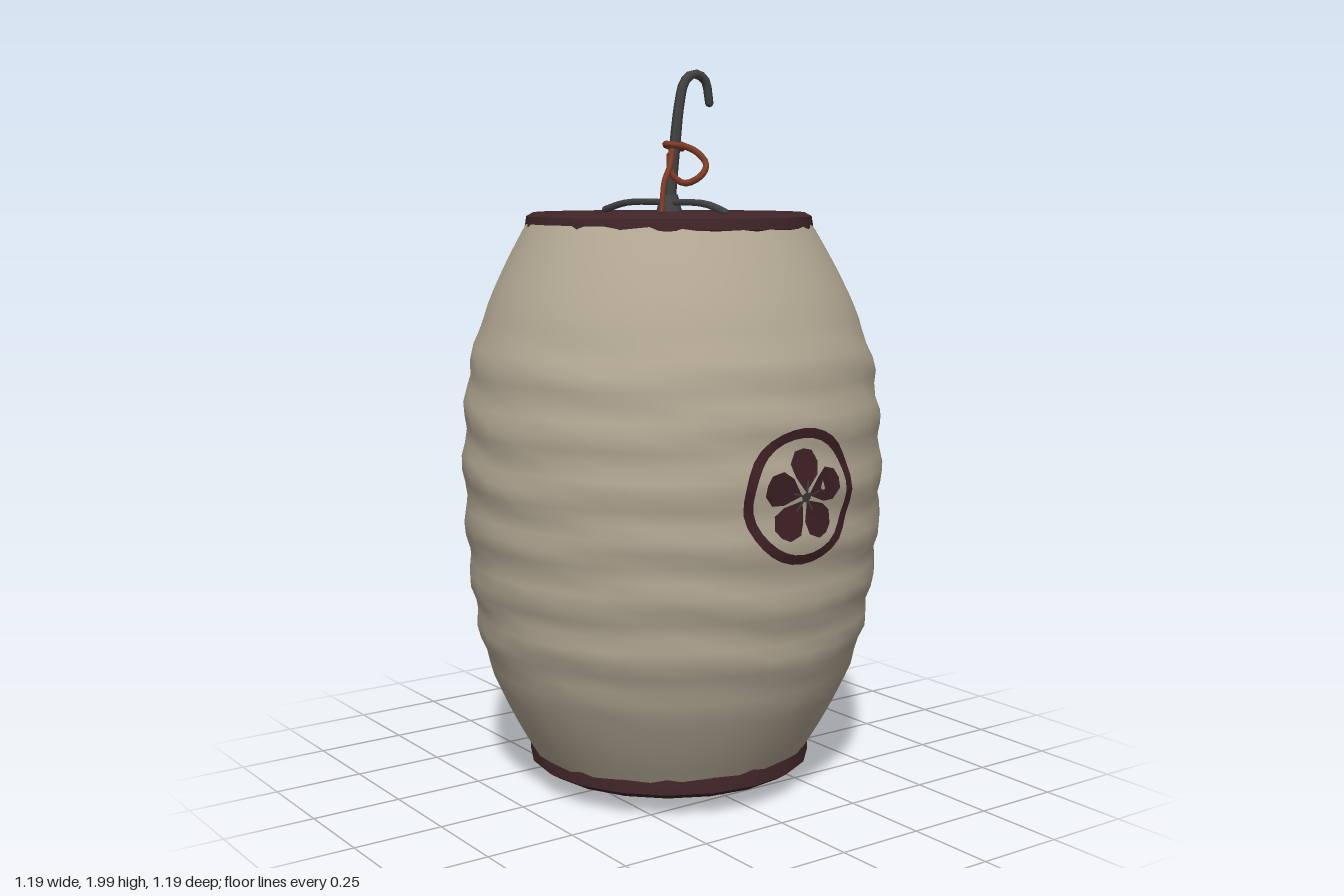
import * as THREE from 'three';
import { toCreasedNormals } from 'three/addons/utils/BufferGeometryUtils.js';

const V = (x, y, z) => new THREE.Vector3(x, y, z);
const material = (name, color, side = THREE.FrontSide) => {
  const m = new THREE.MeshStandardMaterial({ color, side });
  m.name = name;
  return m;
};

// Barrel outline of the paper: [height, radius]
const OUTLINE = [[0.1, 0.385], [0.2, 0.44], [0.32, 0.495], [0.45, 0.535], [0.62, 0.56], [0.78, 0.572],
  [0.92, 0.576], [1.06, 0.57], [1.2, 0.553], [1.35, 0.505], [1.47, 0.45], [1.58, 0.39]];
const outlineCurve = new THREE.SplineCurve(OUTLINE.map(([y, r]) => new THREE.Vector2(y, r)));
const outlinePoints = outlineCurve.getPoints(300);

function baseRadius(y) {
  const i = outlinePoints.findIndex((p) => p.x >= y);
  if (i < 1) return outlinePoints[i < 0 ? 300 : 0].y;
  const a = outlinePoints[i - 1], b = outlinePoints[i];
  return a.y + (b.y - a.y) * (y - a.x) / (b.x - a.x);
}

// Paper radius with soft, uneven horizontal ribs
function paperRadius(y, angle) {
  const fade = THREE.MathUtils.smoothstep(y, 0.25, 0.5) * (1 - THREE.MathUtils.smoothstep(y, 1.15, 1.4));
  const wobble = 0.8 * Math.sin(angle * 3 + y * 4) + 0.5 * Math.sin(angle * 7 - y * 9);
  const rib = Math.cos((y - 0.92) / 0.15 * Math.PI * 2 + wobble);
  return baseRadius(y) + fade * 0.007 * rib;
}
const centreX = (y) => -0.018 + 0.018 * Math.sin(Math.PI * THREE.MathUtils.clamp((y - 0.1) / 1.48, 0, 1));

function paperGeometry() {
  const rows = 40;
  const line = [];
  for (let i = 0; i <= rows; i++) line.push(new THREE.Vector2(0.4, 0.1 + 1.48 * i / rows));
  const g = new THREE.LatheGeometry(line, 30);
  const p = g.attributes.position;
  for (let i = 0; i < p.count; i++) {
    const y = p.getY(i), a = Math.atan2(p.getZ(i), p.getX(i)), r = paperRadius(y, a);
    p.setXYZ(i, centreX(y) + r * Math.cos(a), y, 1.02 * r * Math.sin(a));
  }
  g.computeVertexNormals();
  // Weld the normals along the seam
  const n = g.attributes.normal, last = p.count - rows - 1;
  for (let i = 0; i <= rows; i++) {
    const s = V().fromBufferAttribute(n, i).add(V().fromBufferAttribute(n, last + i)).normalize();
    n.setXYZ(i, s.x, s.y, s.z);
    n.setXYZ(last + i, s.x, s.y, s.z);
  }
  return g;
}

// Wrap a flat painted shape onto the paper, on the left (side 1) or right (side -1)
function wrapOnPaper(g, side, lift) {
  const p = g.attributes.position;
  for (let i = 0; i < p.count; i++) {
    const y = 0.9 + p.getY(i), z = -side * p.getX(i);
    const a = Math.asin(z / 0.58);
    const r = paperRadius(y, side > 0 ? a : Math.PI - a);
    p.setXYZ(i, centreX(y) + side * (r * Math.cos(a) + lift), y, z);
  }
  g.computeVertexNormals();
  return g;
}

export function createModel() {
  const model = new THREE.Group();
  const paper = material('cream paper', 0xb2a793, THREE.DoubleSide);
  const maroon = material('dark maroon', 0x402528);
  const paint = material('maroon paint', 0x3d2024, THREE.DoubleSide);
  const iron = material('dark iron', 0x434343);
  const red = material('red cord', 0x813b25);

  const add = (name, geometry, mat, parent = model) => {
    const mesh = new THREE.Mesh(geometry, mat);
    mesh.name = name;
    parent.add(mesh);
    return mesh;
  };
  const lathe = (name, points) => {
    const g = new THREE.LatheGeometry(points.map(([r, y]) => new THREE.Vector2(r, y)), 20);
    add(name, toCreasedNormals(g, 0.6), maroon).position.x = -0.018;
  };
  // Tube whose radius tapers from start to end, with closed ends
  const rod = (name, points, r0, r1, mat, parent, steps = 16) => {
    const curve = new THREE.CatmullRomCurve3(points);
    const g = new THREE.TubeGeometry(curve, steps, 1, 6);
    const p = g.attributes.position;
    for (let i = 0; i < p.count; i++) {
      const t = Math.floor(i / 7) / steps;
      const c = curve.getPointAt(t);
      const v = V().fromBufferAttribute(p, i).sub(c).multiplyScalar(r0 + (r1 - r0) * t).add(c);
      p.setXYZ(i, v.x, v.y, v.z);
    }
    add(name, g, mat, parent);
    [[points[0], r0], [points[points.length - 1], r1]].forEach(([c, r]) => {
      add(name + 'End', new THREE.SphereGeometry(r, 6, 4), mat, parent).position.copy(c);
    });
  };

  // Paper barrel
  add('paperBody', paperGeometry(), paper);

  // Top rim with its round opening, and stepped base
  lathe('topRim', [[0.245, 1.565], [0.385, 1.555], [0.4, 1.57], [0.395, 1.6], [0.375, 1.611],
    [0.26, 1.605], [0.245, 1.595], [0.245, 1.565]]);
  lathe('base', [[0, 0.008], [0.2, 0.016], [0.235, 0.045], [0.37, 0.056], [0.4, 0.075], [0.398, 0.1],
    [0.392, 0.138], [0.37, 0.138], [0.36, 0.085], [0, 0.075]]);

  // Painted blossom inside a ring, on both sides
  for (const side of [1, -1]) {
    const crest = new THREE.Group();
    crest.name = side > 0 ? 'leftCrest' : 'rightCrest';
    model.add(crest);
    add('crestRing', wrapOnPaper(new THREE.RingGeometry(0.151, 0.177, 32, 2), side, 0.006), paint, crest);
    for (let i = 0; i < 5; i++) {
      const a = Math.PI / 2 + i * Math.PI * 2 / 5;
      const petal = new THREE.Shape([[0.012, 0], [0.055, -0.036], [0.088, -0.046], [0.118, -0.027], [0.124, 0],
        [0.118, 0.027], [0.088, 0.046], [0.055, 0.036]].map(([x, y]) => new THREE.Vector2(x, y)));
      const g = new THREE.ShapeGeometry(petal).rotateZ(a);
      add('petal', wrapOnPaper(g, side, 0.007), paint, crest);
      const stamen = new THREE.PlaneGeometry(0.036, 0.006).translate(0.026, 0, 0).rotateZ(a);
      const mesh = add('stamen', wrapOnPaper(stamen, side, 0.011), iron, crest);
      mesh.geometry.computeVertexNormals();
    }
    add('blossomCentre', wrapOnPaper(new THREE.CircleGeometry(0.014, 8), side, 0.012), iron, crest);
  }

  // Iron hanger: crossbar, hub and hook
  const hanger = new THREE.Group();
  hanger.name = 'hanger';
  model.add(hanger);
  rod('crossbar', [V(-0.3, 1.615, 0.025), V(-0.2, 1.635, 0.022), V(0.01, 1.638, 0.02),
    V(0.18, 1.635, 0.02), V(0.26, 1.615, 0.017)], 0.01, 0.01, iron, hanger);
  add('hub', new THREE.CylinderGeometry(0.024, 0.036, 0.045, 8), iron, hanger).position.set(0.012, 1.636, 0.02);
  rod('hook', [V(0.012, 1.63, 0.02), V(0.014, 1.78, 0.004), V(0.012, 1.91, -0.015), V(0.01, 1.965, -0.033),
    V(0.008, 1.987, -0.066), V(0.006, 1.972, -0.105), V(0.004, 1.91, -0.122)], 0.017, 0.012, iron, hanger, 24);

  // Red cord: wrap, knotted loop and loose tail
  const cord = new THREE.Group();
  cord.name = 'cord';
  model.add(cord);
  const wrap = add('cordWrap', new THREE.TorusGeometry(0.024, 0.009, 6, 12), red, cord);
  wrap.rotation.x = Math.PI / 2 - 0.25;
  wrap.position.set(0.014, 1.79, 0.006);
  rod('cordLoop', [V(0.02, 1.795, -0.01), V(0.055, 1.775, -0.04), V(0.085, 1.74, -0.052), V(0.095, 1.705, -0.02),
    V(0.065, 1.69, 0.01), V(0.04, 1.72, 0.035), V(0.025, 1.765, 0.028)], 0.009, 0.009, red, cord, 20);
  rod('cordTail', [V(0.025, 1.775, 0.02), V(0.05, 1.735, 0.045), V(0.072, 1.69, 0.08), V(0.09, 1.615, 0.1)],
    0.009, 0.007, red, cord);
  return model;
}
